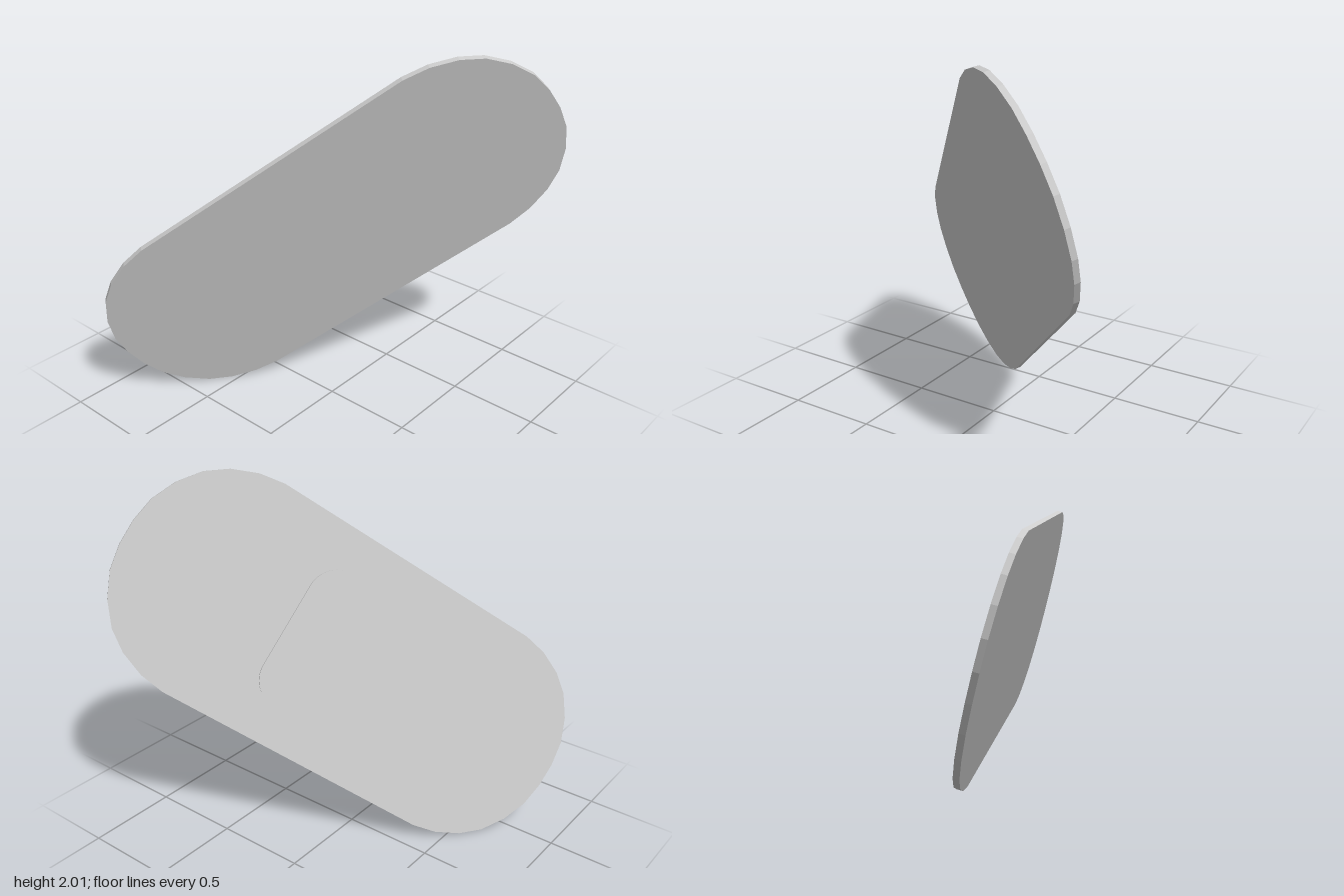
import * as THREE from 'three';

const grey = () => new THREE.MeshStandardMaterial({ color: 0xcccccc, flatShading: true });

// Strip outline: one quarter of the rounded end, mirrored to all four quarters
function stripShape() {
  const quarter = [[1.322, 0.066], [1.299, 0.2], [1.24, 0.33], [1.152, 0.444], [1.047, 0.522], [0.915, 0.578], [0.78, 0.602]];
  const half = [...quarter.map(([s, t]) => [s, -t]).reverse(), ...quarter];
  const all = [...half, ...half.map(([s, t]) => [-s, -t])];
  return new THREE.Shape(all.map(([s, t]) => new THREE.Vector2(s, t)));
}

// Rounded rectangle, half sizes a and b, corner radius r
function padShape(a, b, r) {
  const shape = new THREE.Shape();
  shape.absarc(a - r, b - r, r, 0, Math.PI / 2);
  shape.absarc(r - a, b - r, r, Math.PI / 2, Math.PI);
  shape.absarc(r - a, r - b, r, Math.PI, Math.PI * 1.5);
  shape.absarc(a - r, r - b, r, Math.PI * 1.5, Math.PI * 2);
  return shape;
}

function slab(name, shape, from, to) {
  const geometry = new THREE.ExtrudeGeometry(shape, { depth: to - from, bevelEnabled: false, curveSegments: 6 });
  geometry.translate(0, 0, from);
  const mesh = new THREE.Mesh(geometry, grey());
  mesh.name = name;
  return mesh;
}

export function createModel() {
  const bandage = new THREE.Group();
  bandage.name = 'bandage';

  // Thin strip, with a slightly raised pad on its back face
  bandage.add(slab('strip', stripShape(), -0.015, 0.015));
  bandage.add(slab('pad', padShape(0.408, 0.395, 0.16), -0.024, -0.01));

  // Tilt: length, width and face directions of the strip
  const along = new THREE.Vector3(0.55, 0.566, 0.6135).normalize();
  const face = new THREE.Vector3(-0.582, -0.267, 0.768).normalize();
  const across = new THREE.Vector3().crossVectors(face, along).normalize();
  face.crossVectors(along, across);
  bandage.quaternion.setFromRotationMatrix(new THREE.Matrix4().makeBasis(along, across, face));
  bandage.position.y = 1;

  const model = new THREE.Group();
  model.add(bandage);
  return model;
}
